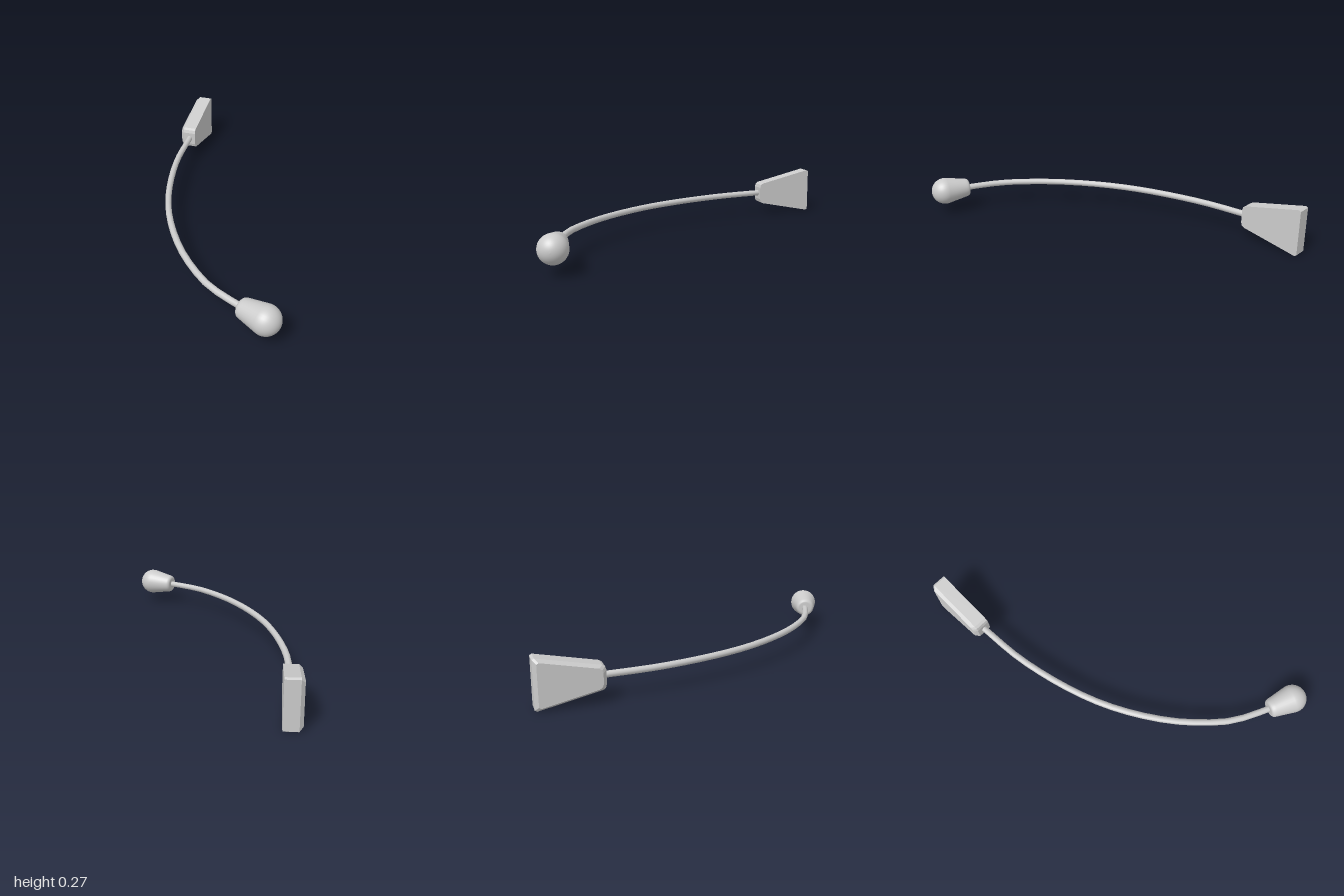
import * as THREE from 'three';
import { ConvexGeometry } from 'three/addons/geometries/ConvexGeometry.js';

const material = new THREE.MeshStandardMaterial({ color: 0xcccccc });
const AXIS_Y = 0.136;

function part(name, geometry) {
  const mesh = new THREE.Mesh(geometry, material);
  mesh.name = name;
  return mesh;
}

// Tapered side outline of the mount at a given x, shrunk by an inset
function mountOutline(x, inset) {
  const halfOutline = [
    [-1 + inset, 0.129 - inset],
    [-0.988 + inset, 0.136 - inset],
    [-0.662 - inset, 0.066 - inset * 0.6],
    [-0.648 - inset, 0.057 - inset * 0.7],
    [-0.642 - inset, 0.038 - inset * 0.5],
  ];
  return halfOutline.flatMap(([z, h]) =>
    [1, -1].map((s) => new THREE.Vector3(x, AXIS_Y + s * h, z)));
}

export function createModel() {
  const model = new THREE.Group();
  model.name = 'boomMicrophone';

  // Wedge mount: flat on the inner side, chamfered on the outer side
  model.add(part('mount', new ConvexGeometry([
    ...mountOutline(-0.433, 0),
    ...mountOutline(-0.511, 0),
    ...mountOutline(-0.53, 0.019),
  ])));

  // Thin curved boom
  const path = new THREE.CatmullRomCurve3([
    [-0.472, -0.68], [-0.451, -0.345], [-0.37, 0.02], [-0.265, 0.28],
    [-0.095, 0.548], [0.1, 0.748], [0.2, 0.81], [0.34, 0.877],
  ].map(([x, z]) => new THREE.Vector3(x, AXIS_Y, z)), false, 'centripetal');
  model.add(part('boom', new THREE.TubeGeometry(path, 20, 0.018, 10, false)));

  // Capsule: rounded rear edge, conical body and spherical tip
  const R = 0.079;
  const profile = [[0, -0.15], [0.036, -0.15], [0.044, -0.148], [0.051, -0.142],
    [0.055, -0.133], [0.057, -0.121]].map(([r, y]) => new THREE.Vector2(r, y));
  const start = -0.18;
  for (let i = 0; i <= 14; i++) {
    const a = start + (Math.PI / 2 - start) * i / 14;
    profile.push(new THREE.Vector2(Math.max(0, R * Math.cos(a)), R * Math.sin(a)));
  }
  const capsule = part('microphoneCapsule', new THREE.LatheGeometry(profile, 32));
  capsule.position.set(0.449, AXIS_Y, 0.921);
  capsule.quaternion.setFromUnitVectors(
    new THREE.Vector3(0, 1, 0), new THREE.Vector3(0.927, 0, 0.375).normalize());
  model.add(capsule);

  return model;
}
